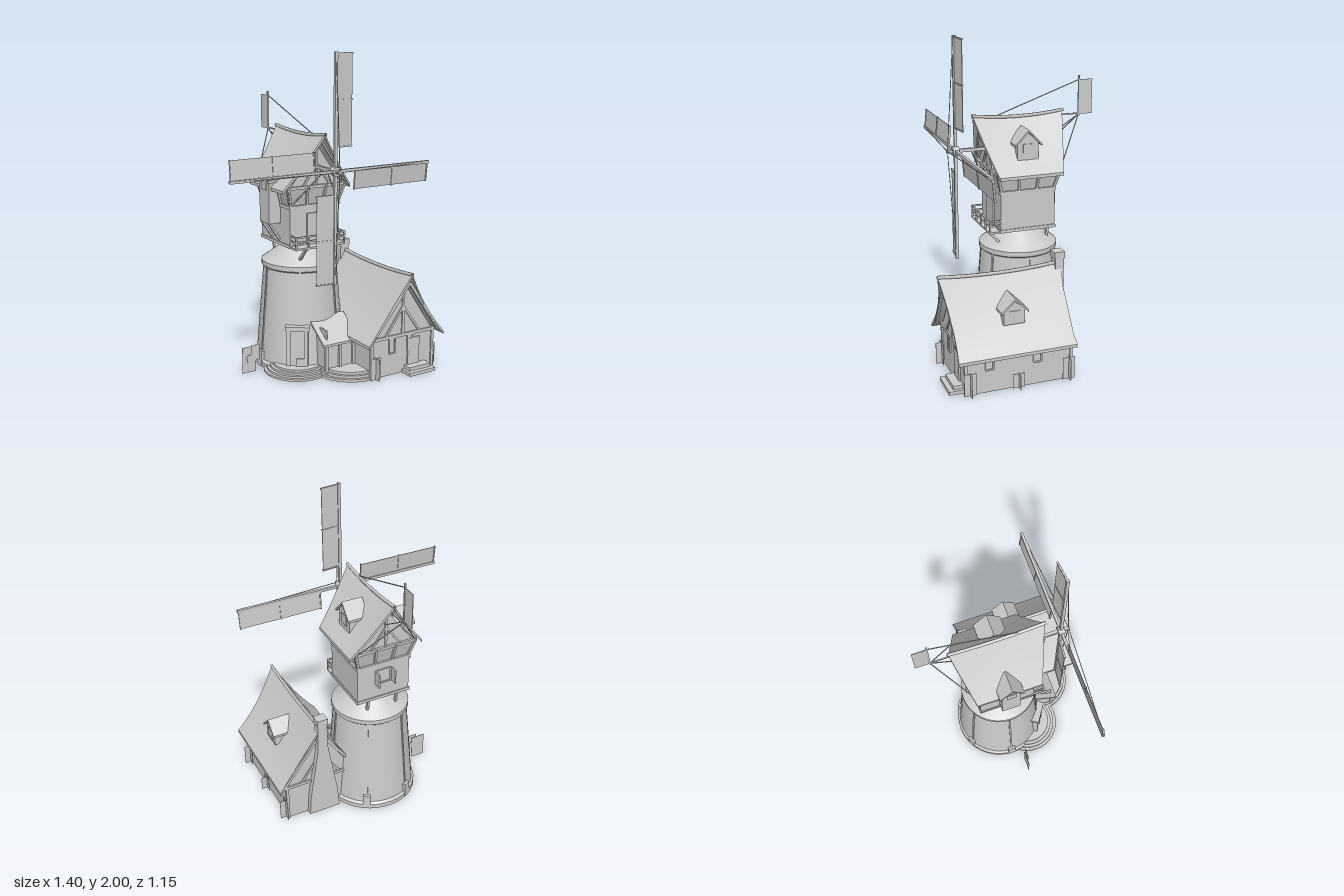
import * as THREE from 'three';
import { toCreasedNormals } from 'three/addons/utils/BufferGeometryUtils.js';

const mat = new THREE.MeshStandardMaterial({ color: 0xcccccc, side: THREE.DoubleSide });
const V = (x, y, z) => new THREE.Vector3(x, y, z);

function add(parent, name, geo, x = 0, y = 0, z = 0) {
  const m = new THREE.Mesh(geo, mat);
  m.name = name;
  m.position.set(x, y, z);
  parent.add(m);
  return m;
}
function group(parent, name, x = 0, y = 0, z = 0) {
  const g = new THREE.Group();
  g.name = name;
  g.position.set(x, y, z);
  parent.add(g);
  return g;
}
// box given by its minimum and maximum on each axis
const box = (p, name, x0, x1, y0, y1, z0, z1) =>
  add(p, name, new THREE.BoxGeometry(x1 - x0, y1 - y0, z1 - z0), (x0 + x1) / 2, (y0 + y1) / 2, (z0 + z1) / 2);
// square timber or thin rope between two points
function beam(p, name, a, b, t) {
  const m = add(p, name, new THREE.BoxGeometry(t, a.distanceTo(b), t));
  m.position.copy(a).add(b).multiplyScalar(0.5);
  m.quaternion.setFromUnitVectors(V(0, 1, 0), b.clone().sub(a).normalize());
}
// pole bent along a sagging ridge
function ridgePole(p, y, sag, z0, z1) {
  const curve = new THREE.QuadraticBezierCurve3(V(0, y + sag, z0), V(0, y - sag, (z0 + z1) / 2), V(0, y + sag, z1));
  add(p, 'ridgePole', new THREE.TubeGeometry(curve, 12, 0.011, 6));
}
function extrude(points, depth) {
  const s = new THREE.Shape(points.map(([x, y]) => new THREE.Vector2(x, y)));
  return new THREE.ExtrudeGeometry(s, { depth, bevelEnabled: false });
}
const lathe = pts =>
  toCreasedNormals(new THREE.LatheGeometry(pts.map(([r, y]) => new THREE.Vector2(r, y)), 40), 0.6);
// round steps, hollow underneath
function roundSteps(n, radius, tread, rise) {
  const pts = [];
  for (let i = 0; i < n; i++) pts.push([radius - i * tread, i * rise], [radius - i * tread, (i + 1) * rise]);
  return lathe([...pts, [0, n * rise]]);
}

// closed loft through rings; each ring runs over the top and back underneath
function loft(rings) {
  const n = rings[0].length, last = rings.length - 1, pos = [], idx = [];
  rings.forEach(r => r.forEach(v => pos.push(v.x, v.y, v.z)));
  for (let s = 0; s < last; s++) for (let i = 0; i < n; i++) {
    const a = s * n + i, b = s * n + (i + 1) % n;
    idx.push(a, a + n, b + n, a, b + n, b);
  }
  for (let i = 0; i < n / 2 - 1; i++) {
    const j = n - 1 - i, o = last * n;
    idx.push(i, i + 1, j - 1, i, j - 1, j, o + i, o + j - 1, o + i + 1, o + i, o + j, o + j - 1);
  }
  const g = new THREE.BufferGeometry();
  g.setAttribute('position', new THREE.Float32BufferAttribute(pos, 3));
  g.setIndex(idx);
  return toCreasedNormals(g, 0.6);
}
// gabled roof with concave slopes, a sagging ridge and raked ends
function saggingRoof({ half, eave, ridge, sag, bow, zEave, zRidge, dip }) {
  const rings = [], N = 12, M = 10, thick = 0.02;
  for (let s = 0; s <= M; s++) {
    const v = s / M, top = [], under = [];
    for (let i = 0; i <= N; i++) {
      const u = i / N * 2 - 1, t = Math.abs(u), k = 4 * t * (1 - t);
      const z0 = THREE.MathUtils.lerp(zRidge[0], zEave[0], t) + dip * k;
      const z1 = THREE.MathUtils.lerp(zRidge[1], zEave[1], t) - dip * k;
      const y = ridge + (eave - ridge) * (t + bow * t * (1 - t)) + sag * (2 * v - 1) ** 2 * (1 - t);
      const p = V(u * half, y, z0 + (z1 - z0) * v);
      top.push(p);
      under.unshift(V(p.x, y - thick, p.z));
    }
    rings.push([...top, ...under]);
  }
  return loft(rings);
}
// dormer with its window facing outwards along x
function dormer(parent, name, side, x, z, depth, w, bottom, eave, ridge) {
  const g = group(parent, name, side * x, 0, z);
  g.rotation.y = side * Math.PI / 2;
  const e = w + 0.018, th = 0.014;
  add(g, 'dormerBody', extrude([[-w, bottom], [w, bottom], [w, eave], [0, ridge - 0.02], [-w, eave]], depth), 0, 0, -depth);
  add(g, 'dormerRoof', extrude([[-e, eave - 0.02], [0, ridge - th], [e, eave - 0.02], [e, eave - 0.005],
    [0, ridge], [-e, eave - 0.005]], depth + 0.015), 0, 0, -depth);
  box(g, 'dormerWindow', -w * 0.5, w * 0.5, eave - 0.07, eave - 0.005, -0.01, 0.005);
}
// framed window; the group is turned to face outwards
function windowFrame(parent, x, y, z, ry, w, h) {
  const g = group(parent, 'window', x, y, z);
  g.rotation.y = ry;
  for (const s of [-1, 1]) {
    box(g, 'windowFrame', s * w / 2 - 0.005, s * w / 2 + 0.005, -h / 2, h / 2, -0.01, 0.01);
    box(g, 'windowFrame', -w / 2, w / 2, s * h / 2 - 0.005, s * h / 2 + 0.005, -0.01, 0.01);
  }
  box(g, 'windowPane', -w / 2, w / 2, -h / 2, h / 2, -0.01, 0.004);
}

function buildTower(root) {
  const t = group(root, 'tower', 0, 0, -0.077);
  add(t, 'towerWall', lathe([[0.3, 0], [0.3, 0.03], [0.285, 0.045], [0.237, 0.64], [0.248, 0.65],
    [0.248, 0.68], [0.235, 0.69], [0.13, 0.765], [0.115, 0.78], [0.115, 0.81], [0, 0.81]]));
  // buttress feet and thin vertical strips around the wall
  for (let i = 0; i < 6; i++) {
    const g = group(t, 'buttress');
    g.rotation.y = i * Math.PI / 3 + 0.5;
    box(g, 'buttressFoot', -0.025, 0.025, 0, 0.1, 0.26, 0.3);
    beam(g, 'wallStrip', V(0, 0.05, 0.283), V(0, 0.65, 0.237), 0.012);
  }
  // entrance and its round steps
  const d = group(t, 'entrance');
  d.rotation.y = -0.6;
  box(d, 'door', -0.045, 0.045, 0.05, 0.28, 0.25, 0.285);
  for (const s of [-1, 1]) box(d, 'doorPost', s * 0.055 - 0.012, s * 0.055 + 0.012, 0.04, 0.3, 0.25, 0.3);
  box(d, 'doorLintel', -0.075, 0.075, 0.285, 0.31, 0.25, 0.305);
  add(root, 'roundSteps', roundSteps(4, 0.215, 0.02, 0.013), -0.12, 0, 0.09);
}

function buildCap(root) {
  const c = group(root, 'millHouse', 0, 0, -0.077), h = 0.178;
  box(c, 'lowerRoom', -h, h, 0.8, 1.06, -h, h);
  for (const y of [0.81, 1.055]) box(c, 'floorBand', -h - 0.006, h + 0.006, y - 0.01, y + 0.01, -h - 0.006, h + 0.006);
  // flared upper storey with leaning posts
  const flare = new THREE.CylinderGeometry(0.198 * Math.SQRT2, 0.17 * Math.SQRT2, 0.12, 4, 1);
  flare.rotateY(Math.PI / 4);
  add(c, 'upperRoom', flare.toNonIndexed(), 0, 1.12, 0).geometry.computeVertexNormals();
  for (let q = 0; q < 4; q++) {
    const g = group(c, 'postRow');
    g.rotation.y = q * Math.PI / 2;
    for (let i = -1.5; i <= 1.5; i++) beam(g, 'leaningPost', V(i * 0.114, 1.06, 0.174), V(i * 0.134, 1.18, 0.206), 0.015);
    box(g, 'wallPlate', -0.21, 0.21, 1.17, 1.188, 0.195, 0.21);
  }
  add(c, 'gableWall', extrude([[-0.19, 1.17], [0.19, 1.17], [0, 1.44]], 0.39), 0, 0, -0.195);
  for (const s of [-1, 1]) {
    const z = s * 0.198;
    beam(c, 'gablePost', V(0, 1.18, z), V(0, 1.46, z), 0.014);
    for (const x of [-1, 1]) {
      beam(c, 'gableBrace', V(x * 0.1, 1.18, z), V(0, 1.32, z), 0.012);
      beam(c, 'gableRafter', V(x * 0.2, 1.2, s * 0.205), V(0, 1.465, s * 0.25), 0.012);
    }
  }
  add(c, 'capRoof', saggingRoof({ half: 0.245, eave: 1.17, ridge: 1.485, sag: 0.025, bow: 0.15,
    zEave: [-0.21, 0.205], zRidge: [-0.295, 0.295], dip: 0 }));
  ridgePole(c, 1.487, 0.02, -0.302, 0.302);
  dormer(c, 'capDormer', 1, 0.175, 0, 0.12, 0.068, 1.24, 1.355, 1.44);
  // hoist bay on the side with its brackets
  dormer(c, 'hoistBay', -1, 0.258, 0, 0.12, 0.06, 0.94, 1.22, 1.31);
  for (const z of [-0.045, 0.045]) beam(c, 'hoistBracket', V(-0.25, 0.94, z), V(-0.175, 0.83, z), 0.014);
  // back window and its open shutters
  windowFrame(c, 0, 0.965, -h, Math.PI, 0.09, 0.09);
  for (const x of [-0.055, 0.055]) box(c, 'backShutter', x - 0.004, x + 0.004, 0.915, 1.01, -0.232, -h);
  box(c, 'balconyDoor', -0.06, 0.06, 0.81, 1.01, h, h + 0.01);
  // balcony
  box(c, 'balconyFloor', -0.18, 0.18, 0.8, 0.812, h, 0.252);
  for (const y of [0.85, 0.88]) {
    box(c, 'handrail', -0.18, 0.18, y - 0.005, y + 0.005, 0.242, 0.252);
    for (const s of [-1, 1]) box(c, 'sideRail', s * 0.175 - 0.005, s * 0.175 + 0.005, y - 0.005, y + 0.005, h, 0.25);
  }
  for (let i = 0; i < 5; i++) box(c, 'railPost', i * 0.0875 - 0.18, i * 0.0875 - 0.17, 0.81, 0.885, 0.242, 0.252);
  for (const [z, foot] of [[0.24, 0.15], [-0.17, -0.15]])
    for (const x of [-0.1, 0.1]) beam(c, 'floorStrut', V(x, 0.8, z), V(x, 0.7, foot), 0.016);
  // tail vane and its stays
  const v = group(root, 'tailVane');
  box(v, 'vaneBoard', -0.002, 0.002, 1.47, 1.69, -0.575, -0.48);
  beam(v, 'vanePost', V(0, 1.46, -0.485), V(0, 1.715, -0.485), 0.01);
  beam(v, 'vaneBoom', V(0, 1.475, -0.36), V(0, 1.475, -0.49), 0.008);
  beam(v, 'vaneRope', V(0, 1.5, 0.06), V(0, 1.69, -0.485), 0.005);
  for (const s of [-1, 1]) beam(v, 'vaneStay', V(0, 1.47, -0.485), V(s * 0.19, 1.19, -0.29), 0.005);
  beam(v, 'vaneStay', V(0, 1.47, -0.485), V(0, 1.34, -0.28), 0.005);
}

function buildSails(root) {
  const s = group(root, 'sails', 0, 1.3, 0.33);
  beam(s, 'axle', V(0, 0, -0.22), V(0, 0, 0.055), 0.02);
  add(s, 'hub', new THREE.CylinderGeometry(0.028, 0.028, 0.04, 16)).rotation.x = Math.PI / 2;
  for (let i = 0; i < 4; i++) {
    const a = group(s, 'sail');
    a.rotation.z = -i * Math.PI / 2;
    beam(a, 'spar', V(0, 0, 0), V(0, 0.7, 0), 0.018);
    // pitched board with cross bars
    const pitch = group(a, 'sailPanel');
    pitch.rotation.y = 0.1;
    box(pitch, 'sailBoard', 0, 0.123, 0.145, 0.695, -0.002, 0.002);
    for (const y of [0.145, 0.42, 0.69]) box(pitch, 'sailBar', -0.008, 0.126, y - 0.004, y + 0.004, -0.006, 0.006);
    beam(a, 'stayRope', V(0, 0, 0.05), V(0, 0.69, 0.005), 0.004);
  }
  for (const x of [-1, 1]) beam(root, 'axleBrace', V(0, 1.3, 0.23), V(x * 0.16, 1.08, 0.11), 0.007);
}

function buildCottage(root) {
  const c = group(root, 'cottage', 0.408, 0, 0), w = 0.235, z0 = -0.175, z1 = 0.485;
  // hollow walls: two gables and two long sides
  for (const z of [z0, z1 - 0.012])
    add(c, 'gableWall', extrude([[-w, 0], [w, 0], [w, 0.25], [0, 0.6], [-w, 0.25]], 0.012), 0, 0, z);
  for (const s of [-1, 1]) box(c, 'sideWall', s * (w - 0.006) - 0.006, s * (w - 0.006) + 0.006, 0, 0.27, z0, z1);
  add(c, 'cottageRoof', saggingRoof({ half: 0.288, eave: 0.24, ridge: 0.64, sag: 0.025, bow: 0.25,
    zEave: [-0.195, 0.54], zRidge: [-0.205, 0.575], dip: 0.02 }));
  ridgePole(c, 0.642, 0.02, -0.207, 0.577);
  dormer(c, 'cottageDormer', 1, 0.19, 0.168, 0.13, 0.066, 0.385, 0.475, 0.55);
  // gable timbers at both ends, corner posts
  for (const [z, rake] of [[z0, -0.004], [z1, 0.03]]) {
    box(c, 'tieBeam', -0.25, 0.25, 0.242, 0.262, z - 0.01, z + 0.01);
    beam(c, 'kingPost', V(0, 0.25, z), V(0, 0.6, z), 0.018);
    for (const s of [-1, 1]) {
      beam(c, 'gableBrace', V(s * 0.13, 0.26, z), V(0, 0.44, z), 0.015);
      beam(c, 'gableRafter', V(s * 0.26, 0.25, z + rake), V(0, 0.605, z + rake * 2), 0.018);
      beam(c, 'cornerPost', V(s * w, 0, z), V(s * w, 0.25, z), 0.018);
    }
  }
  box(c, 'frontDoor', 0.04, 0.13, 0.03, 0.22, z1, z1 + 0.01);
  for (const x of [-0.08, 0.06]) windowFrame(c, x, 0.195, z1, 0, 0.04, 0.1);
  for (const z of [0.34, 0.04]) windowFrame(c, w, 0.195, z, Math.PI / 2, 0.045, 0.1);
  box(c, 'doorStep', 0, 0.2, 0, 0.022, z1, 0.575);
  box(c, 'doorStep', 0.02, 0.18, 0.022, 0.045, z1, 0.545);
  // tapering chimney on the back wall
  const ch = group(c, 'chimney', -0.008, 0, -0.185);
  add(ch, 'chimneyBreast', extrude([[-0.105, 0], [0.105, 0], [0.095, 0.14], [0.035, 0.5],
    [0.03, 0.7], [-0.03, 0.7], [-0.035, 0.5], [-0.095, 0.14]], 0.055), 0, 0, -0.028);
  box(ch, 'chimneyCap', -0.036, 0.036, 0.69, 0.73, -0.032, 0.034);
  // low plants by the walls
  for (const [x, z, tall] of [[0.245, 0.46, 0.14], [0.245, -0.16, 0.14], [-0.21, 0.5, 0.14], [0.245, 0.16, 0.09]]) {
    const g = group(c, 'plant', x, 0, z);
    for (const r of [0, Math.PI / 2]) box(g, 'plantCard', -0.038, 0.038, 0, tall, -0.001, 0.001).rotation.y = r;
  }
}

function buildPorch(root) {
  // rounded base, link room and lean-to roof between tower and cottage
  const p = group(root, 'porch');
  add(p, 'roundBase', roundSteps(3, 0.24, 0.018, 0.017), 0.17, 0, 0.25);
  box(p, 'linkFront', -0.04, 0.18, 0.05, 0.22, 0.288, 0.3);
  box(p, 'linkSide', -0.04, -0.028, 0.05, 0.3, 0.18, 0.3);
  const roof = extrude([[0.15, 0.335], [0.33, 0.205], [0.33, 0.22], [0.15, 0.35]], 0.26);
  roof.rotateY(-Math.PI / 2);
  add(p, 'leanToRoof', roof, 0.185, 0, 0);
  for (const x of [-0.04, 0.06, 0.16]) beam(p, 'porchPost', V(x, 0.02, 0.305), V(x, 0.22, 0.305), 0.018);
  // standing boards beside the tower
  const s = group(root, 'sideBoards', 0, 0, -0.015);
  box(s, 'sideBoard', -0.46, -0.365, 0, 0.17, -0.001, 0.001);
  box(s, 'sideBoard', -0.43, -0.35, 0.07, 0.12, 0.004, 0.008).rotation.z = 0.2;
  box(s, 'sideBoard', -0.405, -0.345, 0.08, 0.18, 0.012, 0.014);
}

export function createModel() {
  const root = new THREE.Group();
  root.name = 'windmill';
  for (const build of [buildTower, buildCap, buildSails, buildCottage, buildPorch]) build(root);
  return root;
}
